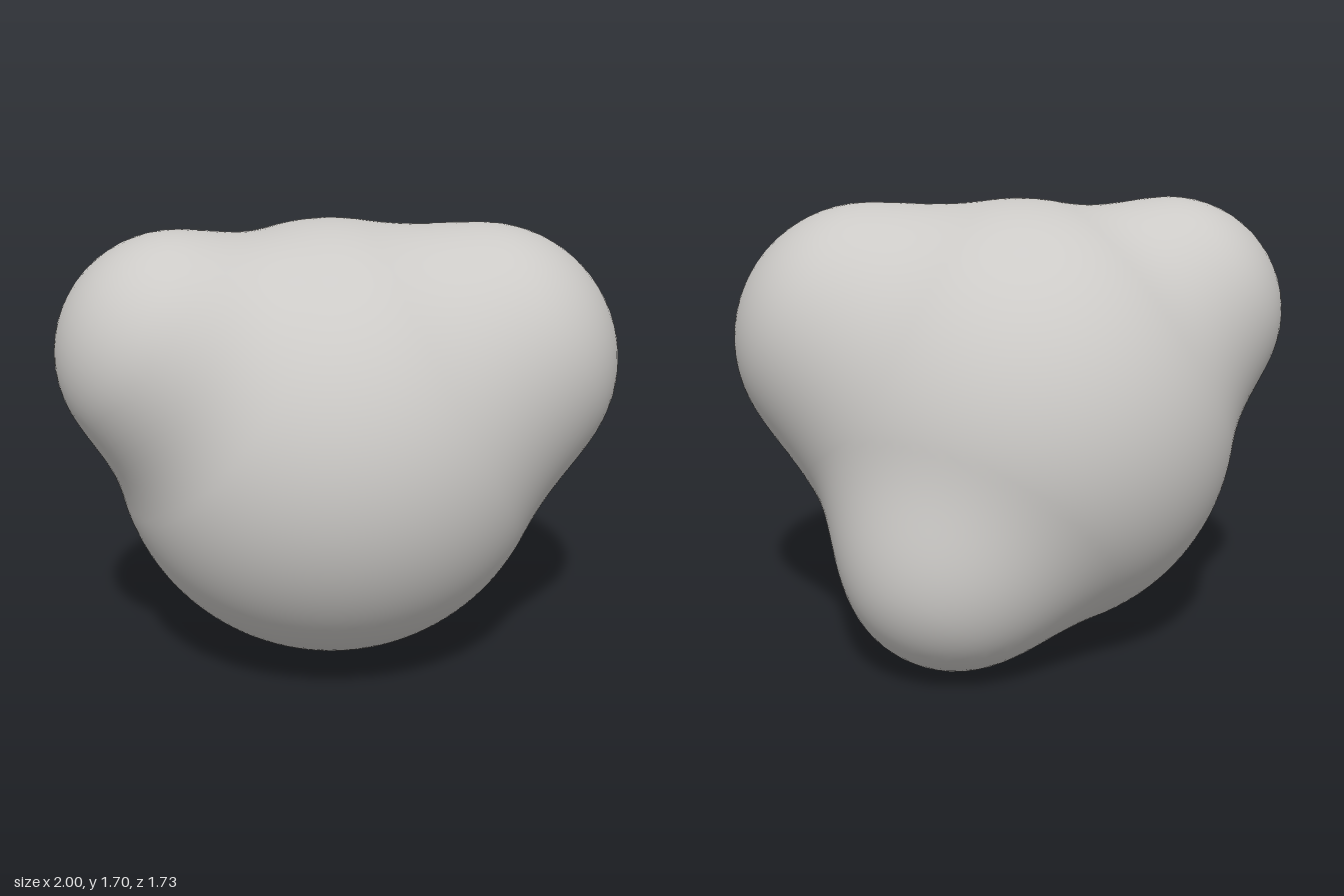
import * as THREE from 'three';

// Rounded masses that melt together: centre x, y, z and radius
const core = [-0.08, 0.86, 0.03, 0.835];
const lobes = [
  [-0.56, 1.245, 0.4, 0.445],   // upper right-hand front lobe
  [0.47, 1.15, -0.14, 0.525],   // upper left-hand lobe
  [-0.03, 0.43, -0.44, 0.43],   // lower back lobe
];
const BLEND = 0.18;

const ball = (p, [x, y, z, r]) => Math.hypot(p.x - x, p.y - y, p.z - z) - r;

// Smooth union of the core and its lobes
function field(p) {
  let d = ball(p, core);
  for (const lobe of lobes) {
    const e = ball(p, lobe);
    const h = Math.max(BLEND - Math.abs(d - e), 0) / BLEND;
    d = Math.min(d, e) - (h * h * BLEND) / 4;
  }
  return d;
}

// Surface normal from the slope of the field
function slope(p) {
  const n = new THREE.Vector3();
  for (const axis of ['x', 'y', 'z']) {
    const a = p.clone(), b = p.clone();
    a[axis] += 0.004;
    b[axis] -= 0.004;
    n[axis] = field(a) - field(b);
  }
  return n.normalize();
}

export function createModel() {
  const stone = new THREE.MeshStandardMaterial({ color: 0xcccac7 });
  stone.name = 'warmGrey';

  // Push every sphere vertex out along its ray to the blended surface
  const geometry = new THREE.IcosahedronGeometry(1, 24);
  const position = geometry.attributes.position;
  const normal = geometry.attributes.normal;
  const centre = new THREE.Vector3(core[0], core[1], core[2]);
  const ray = new THREE.Vector3();
  const p = new THREE.Vector3();
  for (let i = 0; i < position.count; i++) {
    ray.fromBufferAttribute(position, i).normalize();
    let near = 0.5, far = 1.6;
    for (let k = 0; k < 22; k++) {
      const mid = (near + far) / 2;
      p.copy(centre).addScaledVector(ray, mid);
      if (field(p) < 0) near = mid; else far = mid;
    }
    const n = slope(p);
    position.setXYZ(i, p.x, p.y, p.z);
    normal.setXYZ(i, n.x, n.y, n.z);
  }

  const body = new THREE.Mesh(geometry, stone);
  body.name = 'lobedBody';
  const model = new THREE.Group();
  model.name = 'lobedBlob';
  model.add(body);
  return model;
}
